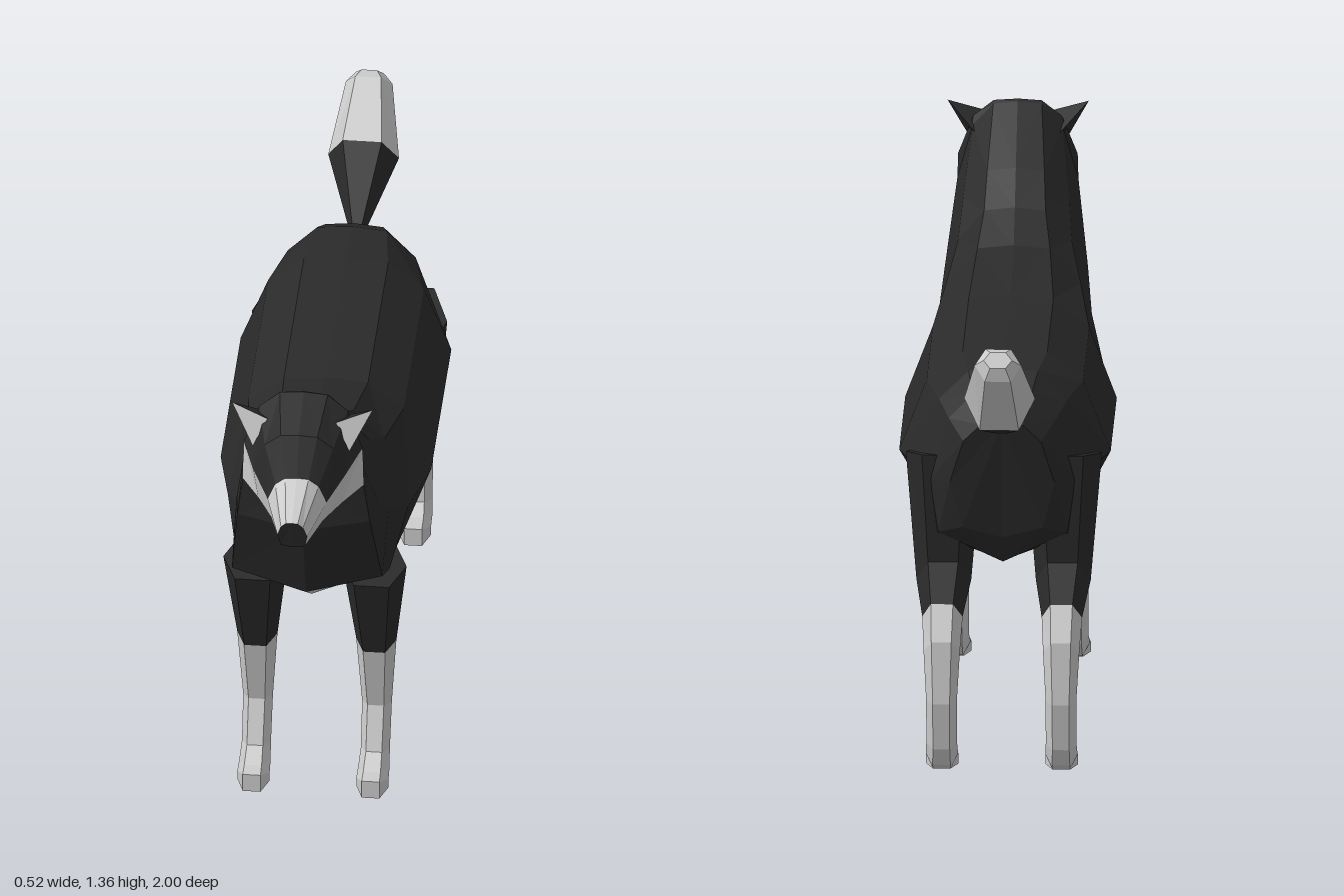
import * as THREE from 'three';

const dark = new THREE.MeshStandardMaterial({ color: 0x2a2a2a, flatShading: true });
const grey = new THREE.MeshStandardMaterial({ color: 0xcccccc, flatShading: true });

function flatMesh(name, points, material) {
  const geo = new THREE.BufferGeometry();
  geo.setAttribute('position', new THREE.Float32BufferAttribute(points.flat(), 3));
  geo.computeVertexNormals();
  const mesh = new THREE.Mesh(geo, material);
  mesh.name = name;
  return mesh;
}

function cap(r, flip) {
  const out = [];
  for (let k = 1; k < r.length - 1; k++) out.push(r[0], r[flip ? k + 1 : k], r[flip ? k : k + 1]);
  return out;
}

// Skins consecutive rings; pick(i, j) chooses which strips belong to this mesh.
function loft(name, rings, material, { pick = () => true, start = false, end = false } = {}) {
  const out = [], n = rings[0].length;
  for (let i = 0; i < rings.length - 1; i++) {
    for (let j = 0; j < n; j++) {
      if (!pick(i, Math.min(j, n - 1 - j))) continue;
      const k = (j + 1) % n;
      const a = rings[i][j], b = rings[i][k], c = rings[i + 1][k], d = rings[i + 1][j];
      if (j < n / 2) out.push(a, c, b, a, d, c);
      else out.push(a, d, b, b, d, c);
    }
  }
  if (start) out.push(...cap(rings[0], false));
  if (end) out.push(...cap(rings[rings.length - 1], true));
  return flatMesh(name, out, material);
}

// Ten-sided body section: top y, z; bottom y, z; half width; lower corner x, y, z.
function bodyRing([topY, topZ, botY, botZ, w, lowX, lowY, lowZ]) {
  const at = (t, f) => [w * f, topY + (botY - topY) * t, topZ + (botZ - topZ) * t];
  const half = [at(0, 0), at(0.015, 0.4), at(0.16, 0.74), at(0.52, 1), [lowX, lowY, lowZ], at(1, 0)];
  return [...half, ...half.slice(1, -1).reverse().map(([x, y, z]) => [-x, y, z])];
}

// Six-sided limb ring: leading z, y; trailing z, y; half width.
function limbRing([z0, y0, z1, y1, w], x) {
  const zm = (z0 + z1) / 2, ym = (y0 + y1) / 2, v = w * 0.55;
  return [[x + v, y0, z0], [x + w, ym, zm], [x + v, y1, z1],
    [x - v, y1, z1], [x - w, ym, zm], [x - v, y0, z0]];
}

export function createModel() {
  const model = new THREE.Group();
  model.name = 'dog';

  // Trunk and neck, from rump to the back of the skull
  const trunk = [
    [0.88, -0.645, 0.57, -0.58, 0.13, 0.1, 0.6, -0.595],
    [0.95, -0.6, 0.5, -0.55, 0.18, 0.16, 0.58, -0.57],
    [0.99, -0.53, 0.49, -0.5, 0.215, 0.18, 0.56, -0.5],
    [1.0, -0.38, 0.5, -0.38, 0.262, 0.2, 0.6, -0.27],
    [1.0, 0.13, 0.5, 0.13, 0.262, 0.2, 0.6, 0.13],
    [1.07, 0.35, 0.485, 0.3, 0.225, 0.19, 0.63, 0.34],
    [1.14, 0.45, 0.605, 0.5, 0.19, 0.19, 0.66, 0.45],
    [1.22, 0.53, 0.71, 0.64, 0.177, 0.187, 0.75, 0.61],
    [1.35, 0.68, 0.96, 0.73, 0.15, 0.165, 0.98, 0.7],
    [1.355, 0.69, 1.075, 0.73, 0.148, 0.15, 1.095, 0.71],
  ].map(bodyRing);
  const isBelly = (i, j) => j === 4 && (i === 3 || i === 4);
  const isChest = (i, j) => j === 4 && i === 6;
  model.add(
    loft('body', trunk, dark, { start: true, pick: (i, j) => !isBelly(i, j) && !isChest(i, j) }),
    loft('belly', trunk, grey, { pick: isBelly }),
    loft('chestBand', trunk, grey, { pick: isChest }),
  );

  // Head with pale cheeks, then muzzle and nose
  const brow = bodyRing([1.315, 0.82, 1.08, 0.79, 0.115, 0.105, 1.09, 0.78]);
  const face = bodyRing([1.22, 0.87, 1.08, 0.86, 0.073, 0.065, 1.09, 0.86]);
  const snout = bodyRing([1.175, 1.0, 1.085, 0.975, 0.037, 0.03, 1.09, 0.975]);
  const head = [trunk[trunk.length - 1], brow, face];
  model.add(
    loft('head', head, dark, { pick: (i, j) => j < 3 }),
    loft('cheeks', head, grey, { pick: (i, j) => j >= 3 }),
    loft('muzzle', [face, snout], grey),
    flatMesh('nose', cap(snout, true), dark),
  );

  // Limb profiles, top to bottom
  const shoulder = [
    [0.49, 0.63, 0.33, 0.65, 0.08],
    [0.42, 0.38, 0.305, 0.38, 0.05],
  ];
  const foreleg = [
    shoulder[1],
    [0.38, 0.19, 0.31, 0.17, 0.037],
    [0.425, 0.08, 0.345, 0.05, 0.036],
    [0.475, 0.055, 0.38, 0.01, 0.039],
    [0.51, 0.05, 0.41, 0, 0.04],
    [0.51, 0, 0.41, 0, 0.04],
  ];
  const thigh = [
    [-0.36, 0.74, -0.58, 0.78, 0.095],
    [-0.43, 0.38, -0.56, 0.5, 0.068],
    [-0.565, 0.33, -0.665, 0.42, 0.05],
  ];
  const hindleg = [
    thigh[2],
    [-0.635, 0.27, -0.715, 0.335, 0.045],
    [-0.655, 0.18, -0.73, 0.18, 0.038],
    [-0.645, 0.08, -0.71, 0.06, 0.038],
    [-0.615, 0.055, -0.69, 0.015, 0.04],
    [-0.57, 0.05, -0.67, 0, 0.04],
    [-0.57, 0, -0.67, 0, 0.04],
  ];
  for (const [label, s] of [['left', 1], ['right', -1]]) {
    const limb = (name, profile, material) => model.add(
      loft(label + name, profile.map((p) => limbRing(p, 0.148 * s)), material, { start: true, end: true }));
    limb('Shoulder', shoulder, dark);
    limb('Foreleg', foreleg, grey);
    limb('Thigh', thigh, dark);
    limb('Hindleg', hindleg, grey);

    // Pointed ear with a pale inner face
    const [tip, a, b, c] = [[0.175, 1.34, 0.73], [0.085, 1.31, 0.75], [0.12, 1.235, 0.765], [0.1, 1.27, 0.66]]
      .map(([x, y, z]) => [x * s, y, z]);
    const wind = ([p, q, r]) => (s > 0 ? [p, q, r] : [p, r, q]);
    model.add(
      flatMesh(label + 'EarInner', wind([tip, a, b]), grey),
      flatMesh(label + 'EarOuter', [...wind([tip, c, a]), ...wind([tip, b, c])], dark),
    );
  }

  // Tail: dark root widening into a pale tip
  const tail = [
    [-0.655, 0.855, -0.64, 0.88, 0.012],
    [-0.865, 0.92, -0.79, 1.065, 0.088],
    [-0.995, 1.08, -0.945, 1.15, 0.058],
    [-1.0, 1.115, -0.975, 1.15, 0.035],
  ].map((p) => limbRing(p, 0));
  model.add(
    loft('tailRoot', tail.slice(0, 2), dark, { start: true }),
    loft('tailTip', tail.slice(1), grey, { end: true }),
  );
  return model;
}
